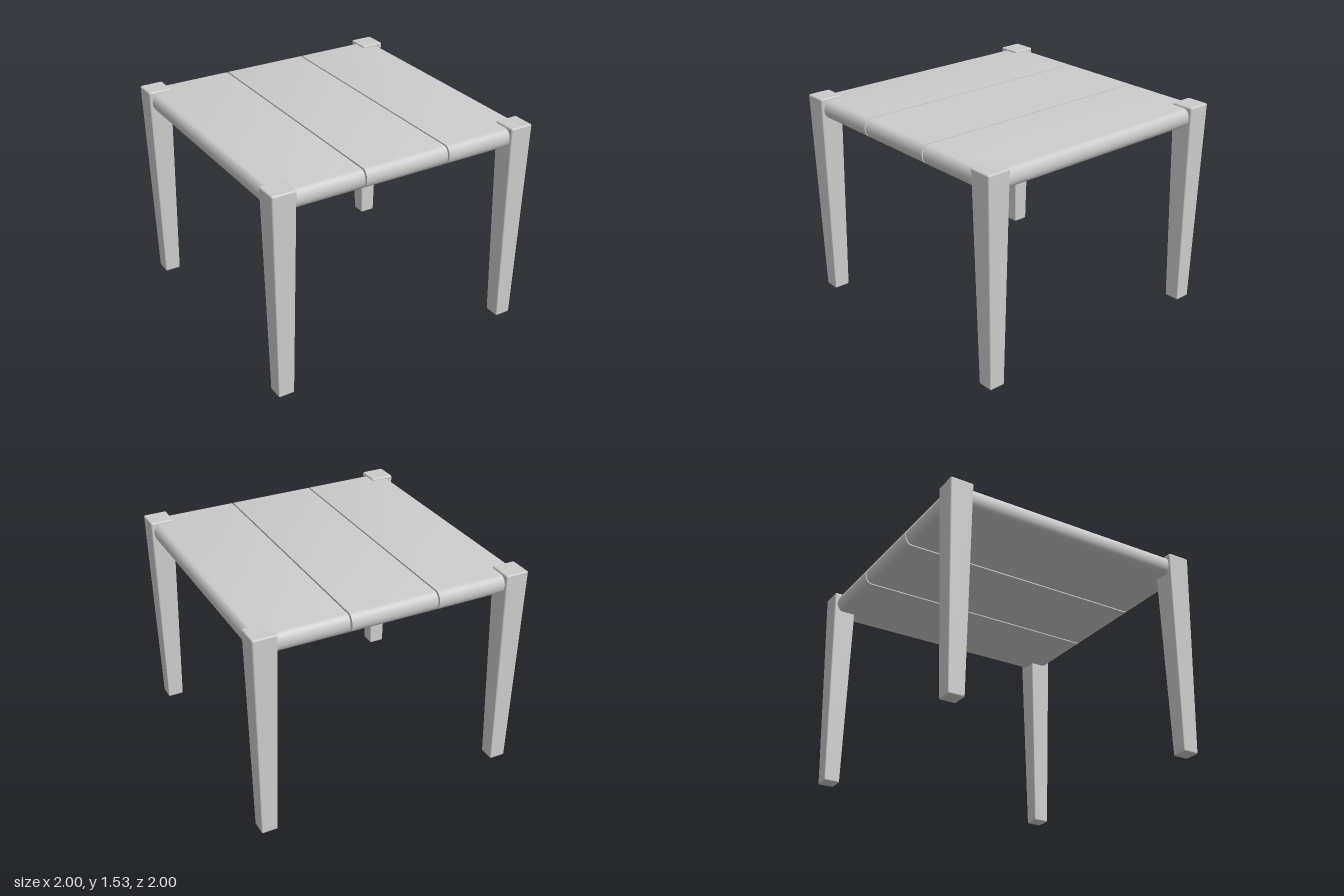
import * as THREE from 'three';
import { toCreasedNormals } from 'three/addons/utils/BufferGeometryUtils.js';
import { RoundedBoxGeometry } from 'three/addons/geometries/RoundedBoxGeometry.js';

const TOP = 1.53, LEG_TOP = 0.172, LEG_FOOT = 0.116, LEG_POS = 0.914;
const SEAT_LOW = 1.38, SEAT_HIGH = 1.515, SEAT_HALF = 0.98, GAP_IN = 0.314, GAP_OUT = 0.326;

// Square leg with softened edges, narrowing towards the foot
function legGeometry() {
  const geo = new RoundedBoxGeometry(LEG_TOP, TOP, LEG_TOP, 3, 0.012);
  const p = geo.attributes.position;
  for (let i = 0; i < p.count; i++) {
    const t = p.getY(i) / TOP + 0.5;
    const s = THREE.MathUtils.lerp(LEG_FOOT / LEG_TOP, 1, t);
    p.setX(i, p.getX(i) * s);
    p.setZ(i, p.getZ(i) * s);
  }
  return geo.translate(0, TOP / 2, 0);
}

// Seat board from x0 to x1: rounded on the seat's outer rim, square at the gaps
function boardGeometry(x0, x1) {
  const steps = 12, half = (SEAT_HIGH - SEAT_LOW) / 2, round = 0.05;
  const geo = new THREE.BoxGeometry(x1 - x0, 2, SEAT_HALF * 2, 1, steps, 1);
  geo.translate((x0 + x1) / 2, 0, 0);
  const p = geo.attributes.position;
  for (let i = 0; i < p.count; i++) {
    const a = p.getY(i) * Math.PI / 2;
    const inset = round * (1 - Math.cos(a));
    const x = p.getX(i), z = p.getZ(i);
    if (Math.abs(x) > SEAT_HALF - 0.001) p.setX(i, x - Math.sign(x) * inset);
    p.setZ(i, z - Math.sign(z) * inset);
    p.setY(i, (SEAT_LOW + SEAT_HIGH) / 2 + half * Math.sin(a));
  }
  return toCreasedNormals(geo, 0.6);
}

export function createModel() {
  const model = new THREE.Group();
  model.name = 'stool';
  const material = new THREE.MeshStandardMaterial({ color: 0xcccccc });
  const add = (geometry, name) => {
    const mesh = new THREE.Mesh(geometry, material);
    mesh.name = name;
    model.add(mesh);
    return mesh;
  };

  // Four corner legs
  const leg = legGeometry();
  for (const [zName, z] of [['front', 1], ['back', -1]])
    for (const [xName, x] of [['Left', 1], ['Right', -1]])
      add(leg, `${zName}${xName}Leg`).position.set(x * LEG_POS, 0, z * LEG_POS);

  // Three seat boards with narrow gaps
  add(boardGeometry(-SEAT_HALF, -GAP_OUT), 'rightSeatBoard');
  add(boardGeometry(-GAP_IN, GAP_IN), 'middleSeatBoard');
  add(boardGeometry(GAP_OUT, SEAT_HALF), 'leftSeatBoard');

  return model;
}
